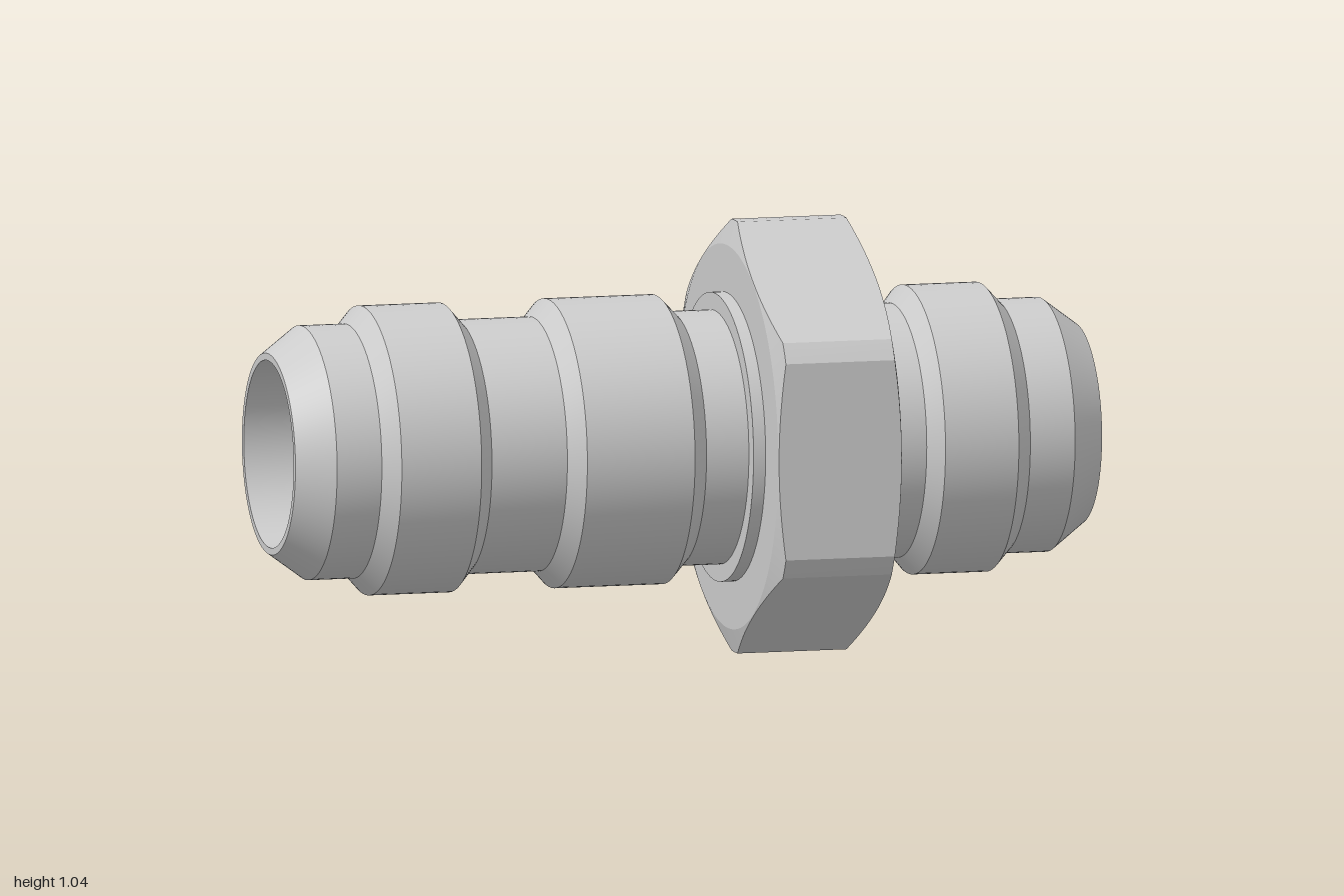
import * as THREE from 'three';
import { toCreasedNormals } from 'three/addons/utils/BufferGeometryUtils.js';

const AXIS_Y = 0.522; // height of the fitting's axis
const BORE = 0.225, NECK = 0.305, COLLAR = 0.347, TIP = 0.242;
const HEX_X0 = 0.137, HEX_X1 = 0.443;
const HEX_FLAT = 0.465, HEX_TIP = 0.522, FACE_R = 0.462, CHAMFER = 0.3;

const material = new THREE.MeshStandardMaterial({ color: 0xcccccc });

// Lathe from [x, radius] pairs, about the vertical axis
const lathe = (profile, segments) =>
  new THREE.LatheGeometry(profile.map(([x, r]) => new THREE.Vector2(r, x)), segments);

function addPart(group, name, geometry) {
  geometry.rotateZ(-Math.PI / 2); // lay the axis along x
  const mesh = new THREE.Mesh(toCreasedNormals(geometry, 0.2), material);
  mesh.name = name;
  mesh.position.y = AXIS_Y;
  group.add(mesh);
}

// Hexagon whose corners are turned down to a circle; phi = 0 is mid-flat
function hexRadius(phi) {
  const step = Math.PI / 3;
  const a = phi - Math.round(phi / step) * step;
  return Math.min(HEX_FLAT / Math.cos(a), HEX_TIP);
}

function hexGeometry() {
  const segments = 120;
  const rows = [
    [HEX_X0, 0.29], [HEX_X0, FACE_R], [HEX_X0, HEX_FLAT],
    [HEX_X1, HEX_FLAT], [HEX_X1, FACE_R], [HEX_X1, 0.29],
  ];
  const geometry = lathe(rows, segments);
  const pos = geometry.attributes.position;
  // Push the two rim rows out to the hexagon and back along the chamfer cone
  for (let i = 0; i <= segments; i++) {
    const phi = (i / segments) * Math.PI * 2;
    const r = hexRadius(phi);
    const inset = (r - FACE_R) * CHAMFER;
    for (const [row, x] of [[2, HEX_X0 + inset], [3, HEX_X1 - inset]]) {
      pos.setXYZ(i * rows.length + row, r * Math.sin(phi), x, r * Math.cos(phi));
    }
  }
  return geometry;
}

export function createModel() {
  const group = new THREE.Group();
  group.name = 'hexPipeFitting';

  // Tube with conical ends, raised collars and a straight through bore
  addPart(group, 'tubeBody', lathe([
    [-1, BORE], [-1, TIP], [-0.914, NECK],
    [-0.803, NECK], [-0.765, COLLAR], [-0.567, COLLAR], [-0.53, NECK],
    [-0.343, NECK], [-0.305, COLLAR], [-0.038, COLLAR], [0.002, NECK],
    [0.548, NECK], [0.583, COLLAR], [0.765, COLLAR], [0.805, NECK],
    [0.916, NECK], [1, TIP], [1, BORE], [-1, BORE],
  ], 96));

  // Thin shoulder against the back of the nut
  addPart(group, 'shoulderRing', lathe([
    [0.107, 0.29], [0.107, COLLAR], [0.15, COLLAR],
  ], 96));

  addPart(group, 'hexNut', hexGeometry());
  return group;
}
